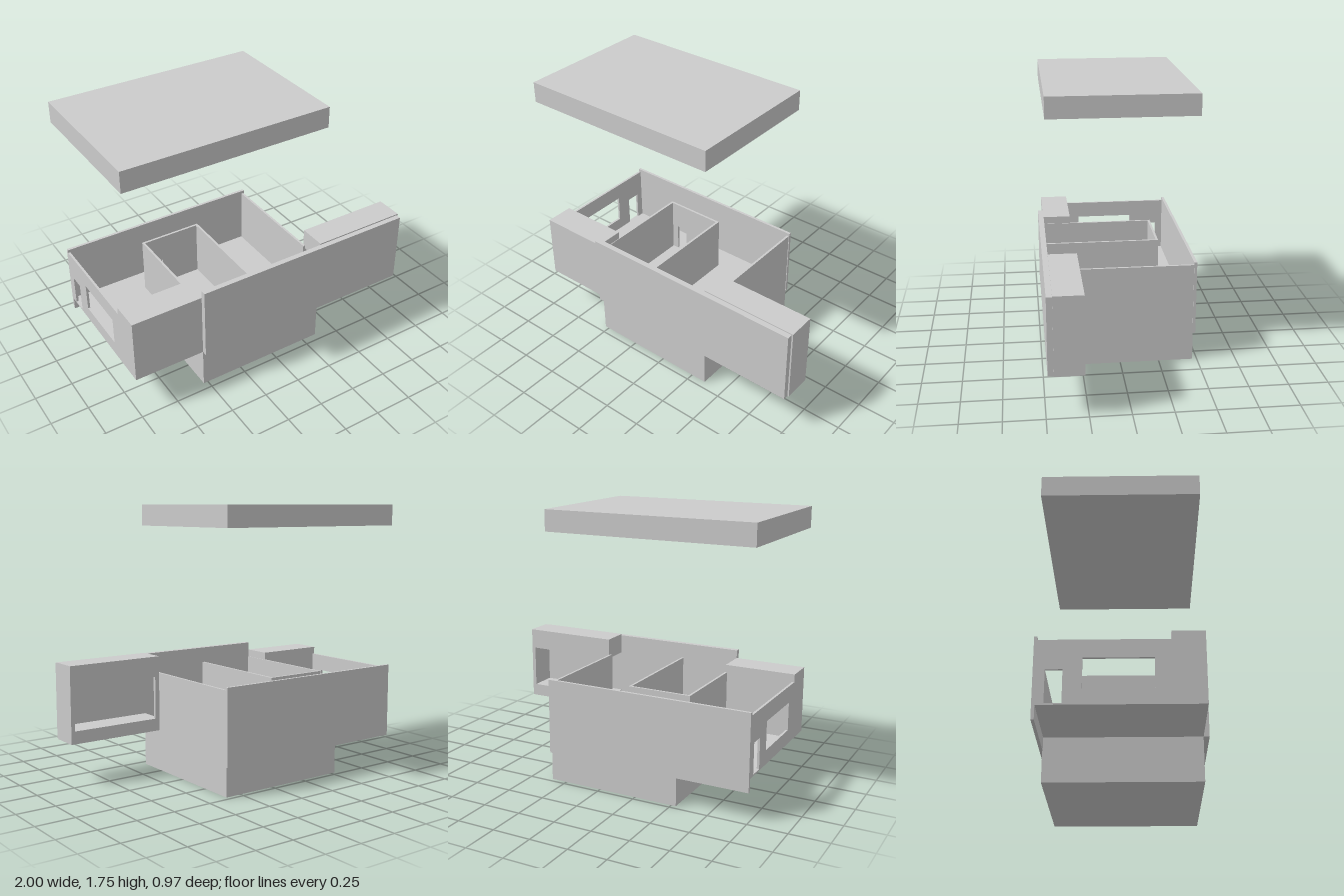
import * as THREE from 'three';

const material = new THREE.MeshStandardMaterial({ color: 0xcccccc, flatShading: true });

export function createModel() {
  const house = new THREE.Group();
  house.name = 'house';

  const add = (name, geometry) => {
    const mesh = new THREE.Mesh(geometry, material);
    mesh.name = name;
    house.add(mesh);
    return mesh;
  };

  // Box given by its limits on each axis
  const block = (name, [x0, x1], [y0, y1], [z0, z1]) => {
    const mesh = add(name, new THREE.BoxGeometry(x1 - x0, y1 - y0, z1 - z0));
    mesh.position.set((x0 + x1) / 2, (y0 + y1) / 2, (z0 + z1) / 2);
    return mesh;
  };

  // Upright slab with rectangular openings, each [u0, u1, v0, v1]
  const slab = (u, v, depth, openings) => {
    const rect = (Type, [a, b, c, d]) => new Type([[a, c], [b, c], [b, d], [a, d]].map(p => new THREE.Vector2(...p)));
    const shape = rect(THREE.Shape, [...u, ...v]);
    shape.holes = openings.map(o => rect(THREE.Path, o));
    return new THREE.ExtrudeGeometry(shape, { depth, bevelEnabled: false });
  };
  const wallAlongX = (name, x, y, z, openings) => {
    add(name, slab(x, y, z[1] - z[0], openings)).position.z = z[0];
  };
  const wallAlongZ = (name, x, y, z, openings) => {
    // turned so that the shape's u axis runs along -z
    const flipped = openings.map(([a, b, c, d]) => [-b, -a, c, d]);
    const mesh = add(name, slab([-z[1], -z[0]], y, x[1] - x[0], flipped));
    mesh.rotation.y = Math.PI / 2;
    mesh.position.x = x[0];
  };

  const T = 0.015;       // wall thickness
  const FLOOR = 0.28;
  const TOP = 0.655;

  // Lifted roof
  block('roof', [-1, 0.36], [1.61, 1.745], [-0.485, 0.45]);

  // Lower storey and cantilevered floor
  block('base', [-0.53, 0.355], [0, 0.27], [-0.47, 0.45]);
  block('floor', [-1, 0.355], [0.27, FLOOR], [-0.47, 0.45]);

  // Outer walls
  block('backWall', [-1, 0.36], [0.188, 0.675], [-0.485, -0.467]);
  block('frontWall', [-0.53, 0.99], [0.27, 0.757], [0.45, 0.485]);
  block('leftWall', [0.355 - T, 0.355], [0.27, TOP], [-0.47, 0.29]);
  wallAlongZ('rightWall', [-1, -1 + T], [0.27, TOP], [-0.47, 0.27], [
    [-0.42, -0.325, FLOOR, 0.477],
    [-0.22, 0.17, 0.362, 0.545],
  ]);

  // Closed volume at the front corner
  block('frontBox', [-1, -0.53], [0.27, 0.705], [0.262, 0.45]);

  // Inner partitions
  block('innerWallMiddle', [-0.12 - T, -0.12], [FLOOR, TOP], [-0.31, 0.45]);
  block('innerWallSide', [-0.54, -0.54 + T], [FLOOR, TOP], [-0.31, 0.45]);
  wallAlongX('innerCrossWall', [-0.54, -0.12], [FLOOR, TOP], [-0.31, -0.31 + T], [[-0.48, -0.4, FLOOR + 0.002, 0.47]]);

  // Hollow bay, open to the back and to the room beside it
  block('bayTop', [0.355, 1], [0.63, 0.765], [0.27, 0.45]);
  block('bayFloor', [0.355, 1], [0.27, 0.352], [0.27, 0.45]);
  block('bayEnd', [0.975, 1], [0.352, 0.63], [0.27, 0.45]);
  block('bayJamb', [0.355, 0.385], [0.352, 0.63], [0.27, 0.29]);

  return house;
}
